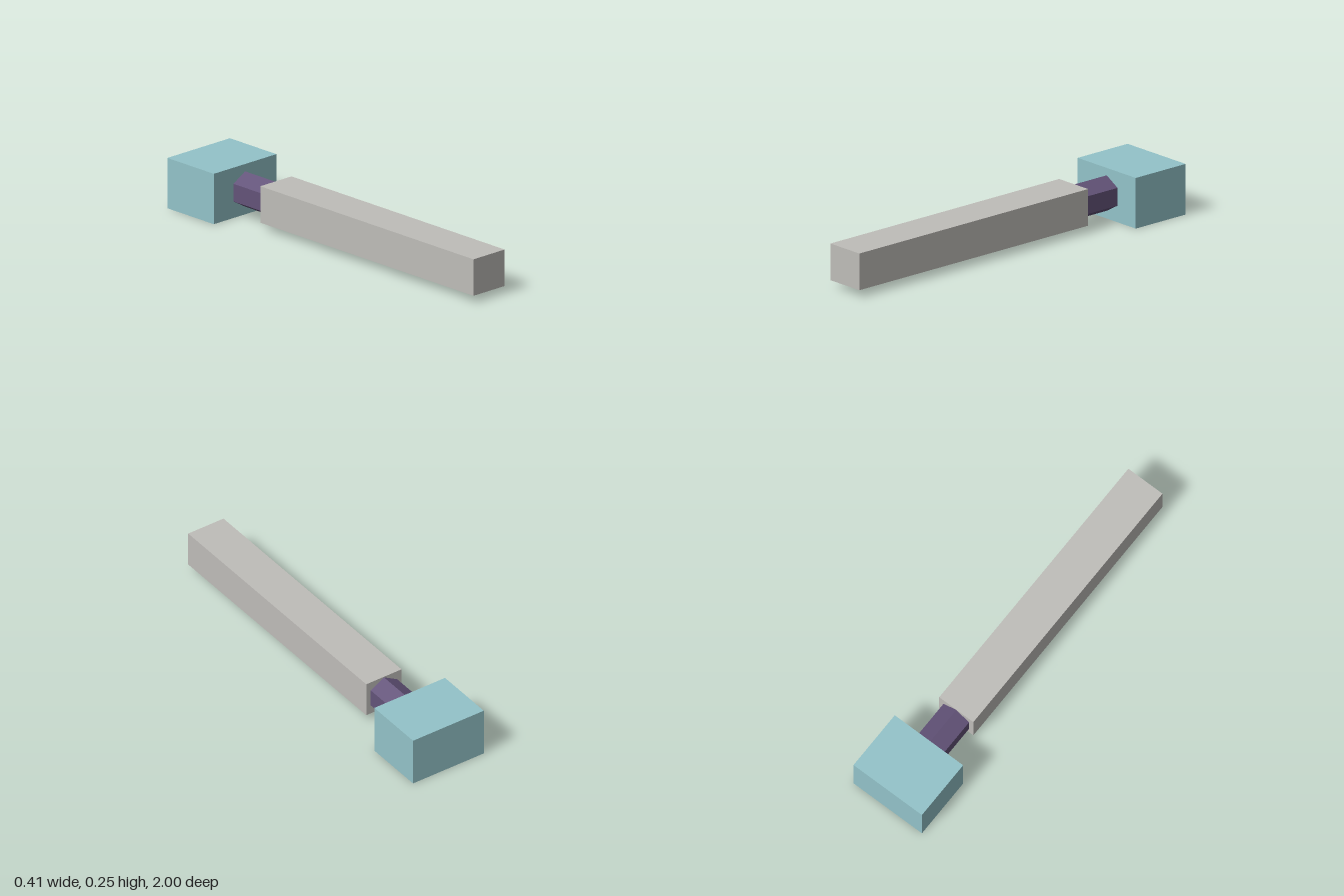
import * as THREE from 'three';

export function createModel() {
  const model = new THREE.Group();
  const material = (name, color) => {
    const m = new THREE.MeshStandardMaterial({ color });
    m.name = name;
    return m;
  };
  const grey = material('warm grey', 0xbfbdb9);
  const teal = material('pale teal', 0x93c3c9);
  const purple = material('dark purple', 0x635379);
  purple.flatShading = true;

  const add = (name, geometry, mat, y, z) => {
    const mesh = new THREE.Mesh(geometry, mat);
    mesh.name = name;
    mesh.position.set(0, y, z);
    model.add(mesh);
  };

  // Long square handle
  add('handle', new THREE.BoxGeometry(0.206, 0.184, 1.468), grey, 0.128, 0.266);

  // Hexagonal neck, points up and down
  const neck = new THREE.CylinderGeometry(0.089, 0.089, 0.212, 6).rotateX(Math.PI / 2);
  add('neck', neck, purple, 0.128, -0.574);

  // Block head at the back
  add('head', new THREE.BoxGeometry(0.413, 0.254, 0.32), teal, 0.127, -0.84);

  return model;
}
